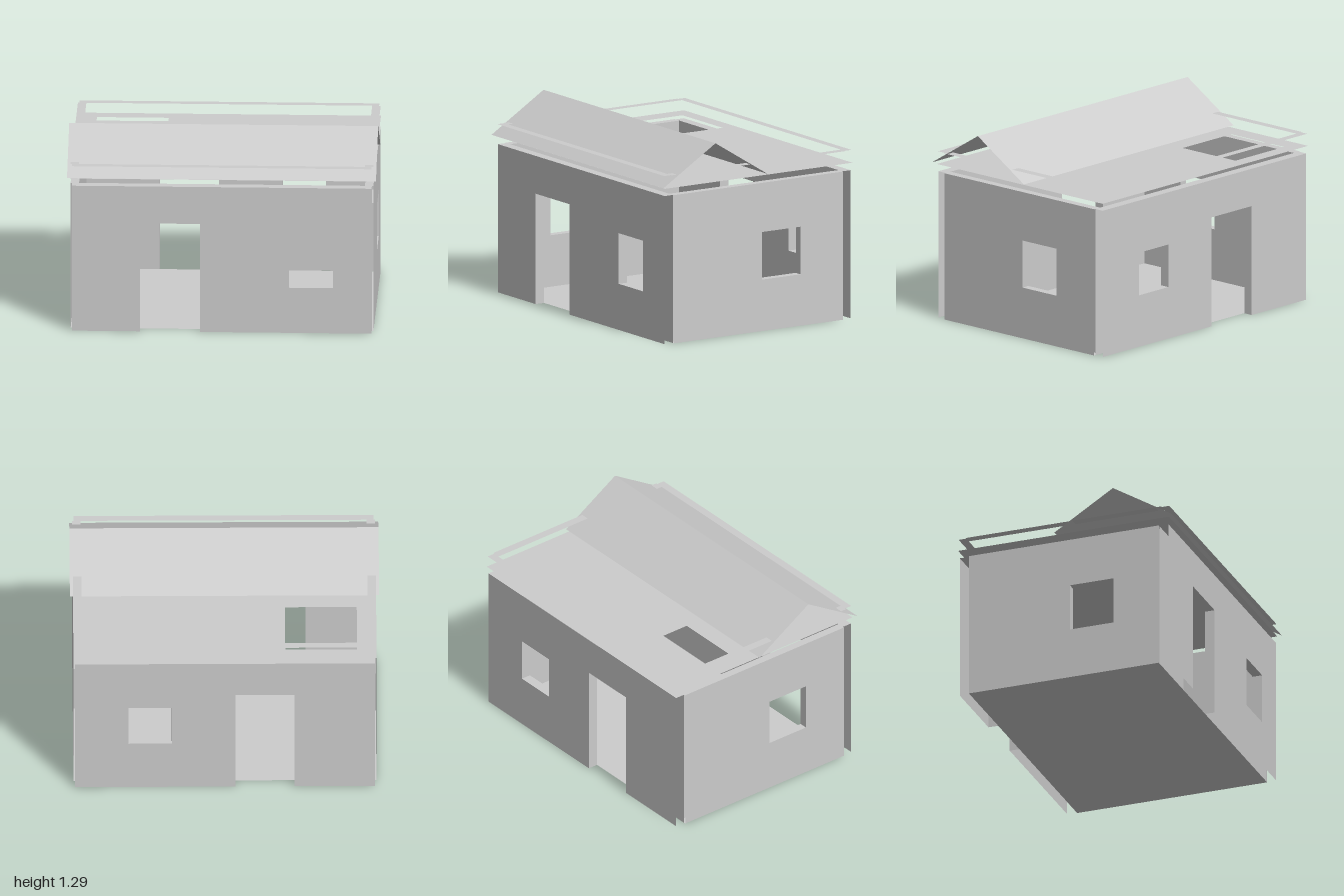
import * as THREE from 'three';

const grey = new THREE.MeshStandardMaterial({ color: 0xcccccc, side: THREE.DoubleSide });
grey.name = 'plain grey';

function mesh(name, geometry, parent) {
  const m = new THREE.Mesh(geometry, grey);
  m.name = name;
  parent.add(m);
  return m;
}

function rectPoints([x0, x1, y0, y1]) {
  return [[x0, y0], [x1, y0], [x1, y1], [x0, y1]].map(([x, y]) => new THREE.Vector2(x, y));
}

// Flat horizontal sheet; bounds and holes are [x0, x1, z0, z1]
function flatSheet(name, bounds, y, parent, holes = []) {
  const flip = ([x0, x1, z0, z1]) => [x0, x1, -z1, -z0];
  const shape = new THREE.Shape(rectPoints(flip(bounds)));
  holes.forEach((h) => shape.holes.push(new THREE.Path(rectPoints(flip(h)))));
  const m = mesh(name, new THREE.ShapeGeometry(shape).rotateX(-Math.PI / 2), parent);
  m.position.y = y;
  return m;
}

// Hollow wall: outer skin at local z = 0, inner skin at -depth, lined openings, open ends
function wall(name, { from, to, depth, door, window: win }, parent) {
  const g = new THREE.Group();
  g.name = name;
  const H = 0.98;
  const pts = [[from, 0]];
  if (door) pts.push([door[0], 0], [door[0], door[3]], [door[1], door[3]], [door[1], 0]);
  pts.push([to, 0], [to, H], [from, H]);
  const shape = new THREE.Shape(pts.map(([x, y]) => new THREE.Vector2(x, y)));
  shape.holes.push(new THREE.Path(rectPoints(win)));

  mesh('outerSkin', new THREE.ShapeGeometry(shape), g);
  const inner = new THREE.ShapeGeometry(shape);
  const index = inner.index.array; // turn the inner skin to face the room
  for (let i = 0; i < index.length; i += 3) [index[i], index[i + 1]] = [index[i + 1], index[i]];
  inner.computeVertexNormals();
  mesh('innerSkin', inner, g).position.z = -depth;

  const lining = ([x0, x1, y0, y1], label, sill) => {
    const jamb = (x, turn) =>
      mesh(label + 'Jamb', new THREE.PlaneGeometry(depth, y1 - y0).rotateY(turn), g)
        .position.set(x, (y0 + y1) / 2, -depth / 2);
    const level = (y, turn, part) =>
      mesh(label + part, new THREE.PlaneGeometry(x1 - x0, depth).rotateX(turn), g)
        .position.set((x0 + x1) / 2, y, -depth / 2);
    jamb(x0, Math.PI / 2);
    jamb(x1, -Math.PI / 2);
    level(y1, Math.PI / 2, 'Head');
    if (sill) level(y0, -Math.PI / 2, 'Sill');
  };
  lining(win, 'window', true);
  if (door) lining(door, 'door', false);
  parent.add(g);
  return g;
}

// Ring of four flat strips following the wall tops
function wallRing(name, y, zFront, zBack, width, parent) {
  const g = new THREE.Group();
  g.name = name;
  flatSheet('frontStrip', [-0.97, 0.97, zFront - width, zFront], y, g);
  flatSheet('backStrip', [-0.97, 0.97, zBack, zBack + width], y, g);
  for (const s of [-1, 1]) {
    const xs = [s * 0.98, s * 0.925].sort((a, b) => a - b);
    flatSheet('sideStrip', [...xs, zBack + width, zFront - width], y, g);
  }
  parent.add(g);
}

export function createModel() {
  const house = new THREE.Group();
  house.name = 'house';

  // Walls
  const front = wall('frontWall', {
    from: -0.97, to: 0.97, depth: 0.065,
    door: [-0.53, -0.14, 0, 0.73], window: [0.435, 0.72, 0.305, 0.64],
  }, house);
  front.position.z = 0.71;

  const back = wall('backWall', {
    from: -0.97, to: 0.97, depth: 0.065,
    door: [0.067, 0.45, 0, 0.73], window: [-0.625, -0.345, 0.345, 0.63],
  }, house);
  back.position.z = -0.737;
  back.rotation.y = Math.PI;

  const plusX = wall('leftWall', {
    from: -0.645, to: 0.67, depth: 0.055, window: [0.04, 0.34, 0.34, 0.655],
  }, house);
  plusX.position.x = 0.98;
  plusX.rotation.y = Math.PI / 2;

  const minusX = wall('rightWall', {
    from: -0.67, to: 0.645, depth: 0.055, window: [0.03, 0.33, 0.34, 0.655],
  }, house);
  minusX.position.x = -0.98;
  minusX.rotation.y = -Math.PI / 2;

  // Floor, wall tops, ceiling with hatch, floating ring
  flatSheet('floor', [-0.98, 0.98, -0.67, 0.645], 0, house);
  wallRing('wallTops', 0.98, 0.71, -0.737, 0.065, house);
  flatSheet('ceiling', [-0.98, 0.98, -0.745, 0.715], 1.03, house, [[-0.855, -0.39, -0.65, -0.185]]);
  wallRing('upperRing', 1.113, 0.714, -0.745, 0.053, house);

  // Gable roof: two thin slopes meeting at the ridge
  const rise = 0.25, run = 0.405, ridgeZ = 0.335;
  for (const s of [1, -1]) {
    const slope = new THREE.PlaneGeometry(2, Math.hypot(rise, run))
      .rotateX(-Math.PI / 2 + s * Math.atan2(rise, run));
    mesh(s > 0 ? 'frontRoofSlope' : 'backRoofSlope', slope, house)
      .position.set(0, 1.04 + rise / 2, ridgeZ + s * run / 2);
  }
  return house;
}
